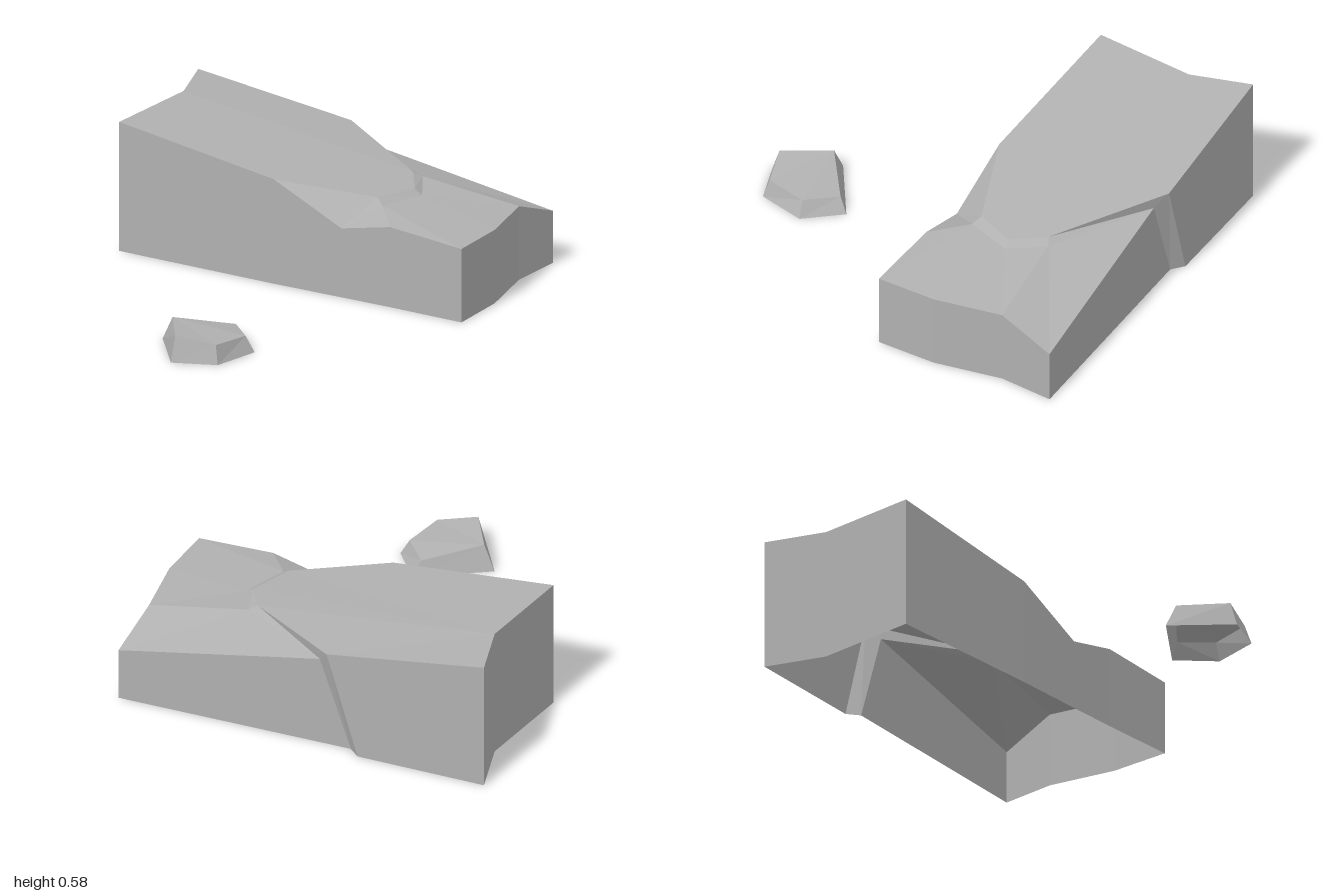
import * as THREE from 'three';

const stone = new THREE.MeshStandardMaterial({ color: 0xb0b0b0, flatShading: true, side: THREE.DoubleSide });
stone.name = 'grey stone';

// Flat-shaded mesh from convex or fan-shaped faces, each a loop of corner points
function facetMesh(name, faces) {
  const pos = [];
  for (const f of faces)
    for (let i = 1; i < f.length - 1; i++) pos.push(...f[0], ...f[i], ...f[i + 1]);
  const geo = new THREE.BufferGeometry();
  geo.setAttribute('position', new THREE.Float32BufferAttribute(pos, 3));
  geo.computeVertexNormals();
  const mesh = new THREE.Mesh(geo, stone);
  mesh.name = name;
  return mesh;
}

// Quads joining a lower closed loop to an upper one
const skirt = (low, high) => high.map((p, i) => {
  const j = (i + 1) % high.length;
  return [low[i], low[j], high[j], p];
});

export function createModel() {
  const group = new THREE.Group();
  group.name = 'rockLedge';

  // Upper slab: outer end, then the rim that steps down
  const endFront = [-0.905, 0.58, -0.28], endMid = [-0.74, 0.58, -0.72], endBack = [-0.75, 0.58, -1];
  const rim = [[-0.17, 0.47, -0.055], [0.27, 0.41, -0.11], [0.39, 0.405, -0.27], [0.34, 0.42, -0.43], [-0.04, 0.47, -0.845]];
  // Foot of the step, front to back
  const foot = [[0.15, 0.31, 0.035], [0.3, 0.385, -0.08], [0.425, 0.38, -0.26], [0.38, 0.4, -0.44], [0, 0.41, -0.79]];
  // Lower ledge: front edge point, then the far end
  const edge = [0.38, 0.36, 0.1];
  const end = [[0.72, 0.33, 0.205], [0.795, 0.33, -0.06], [0.82, 0.33, -0.37], [0.905, 0.235, -0.605]];

  group.add(facetMesh('upperTop', [[endMid, endFront, ...rim, endBack]]));

  const step = [[rim[0], foot[0], rim[1]], [rim[1], foot[0], foot[1]]];
  for (let i = 1; i < 4; i++) step.push([rim[i], foot[i], foot[i + 1], rim[i + 1]]);
  group.add(facetMesh('step', step));

  group.add(facetMesh('lowerTop', [
    [foot[1], foot[0], edge, end[0], foot[2]],
    [foot[2], end[0], end[1], end[2], foot[3]],
    [foot[3], end[2], end[3], foot[4]],
  ]));

  // Side walls, open underneath; the crack in the back wall leans
  const top = [endFront, rim[0], foot[0], edge, ...end, foot[4], rim[4], endBack, endMid];
  const base = top.map(([x, , z]) => [x, 0, z]);
  base[8] = [-0.14, 0, -0.82];
  base[9] = [-0.18, 0, -0.875];
  group.add(facetMesh('walls', skirt(base, top)));

  // Small loose stone, open underneath
  const low = [[-0.45, 0, 0.72], [-0.34, 0, 1], [-0.14, 0, 0.98], [-0.03, 0, 0.785], [-0.12, 0, 0.605]];
  const high = [[-0.4, 0.11, 0.745], [-0.33, 0.11, 0.965], [-0.155, 0.08, 0.955], [-0.07, 0.07, 0.785], [-0.15, 0.065, 0.64]];
  group.add(facetMesh('smallStone', [high, ...skirt(low, high)]));

  return group;
}
